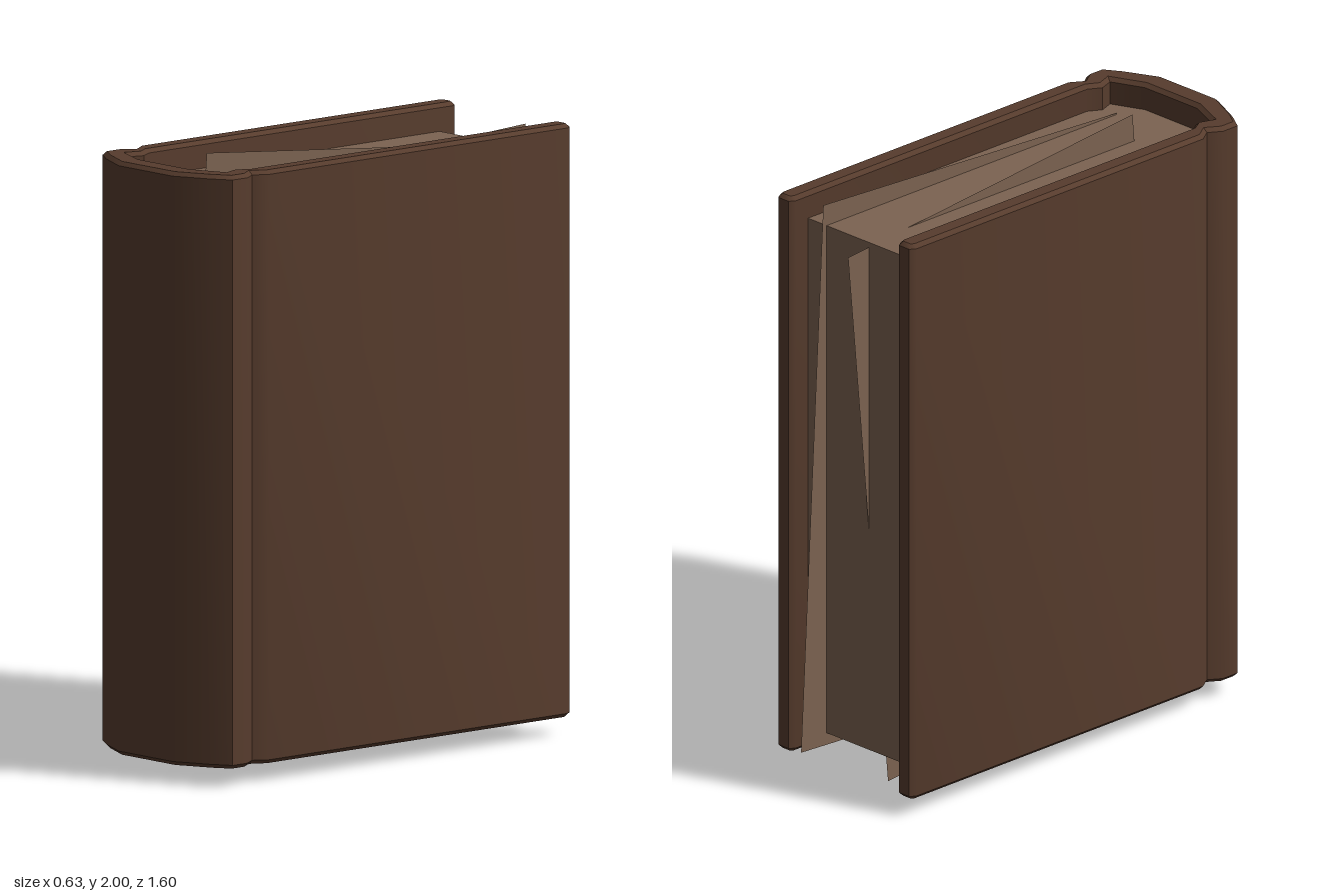
import * as THREE from 'three';
import { toCreasedNormals } from 'three/addons/utils/BufferGeometryUtils.js';

// Closed plan outline, mirrored in x, from [x, z] points on the +x side
function mirroredShape(half) {
  const mirror = half.slice().reverse().map(([x, z]) => [-x, z]);
  return new THREE.Shape([...half, ...mirror].map(([x, z]) => new THREE.Vector2(x, -z)));
}

// Upright prism between two heights with an optional small chamfer kept inside the outline
function prism(shape, bottom, top, bevel) {
  const geo = new THREE.ExtrudeGeometry(shape, {
    depth: top - bottom - 2 * bevel,
    bevelEnabled: bevel > 0,
    bevelSize: bevel,
    bevelThickness: bevel,
    bevelOffset: -bevel,
    bevelSegments: 1,
  });
  geo.rotateX(-Math.PI / 2);
  geo.translate(0, bottom + bevel, 0);
  return toCreasedNormals(geo, 0.7);
}

// Flat sheet at constant x from four [z, y] corners
function sheet(x, corners) {
  const geo = new THREE.BufferGeometry();
  const pos = corners.flatMap(([z, y]) => [x, y, z]);
  geo.setAttribute('position', new THREE.Float32BufferAttribute(pos, 3));
  geo.setIndex([0, 1, 2, 0, 2, 3]);
  geo.computeVertexNormals();
  return geo;
}

export function createModel() {
  const leather = new THREE.MeshStandardMaterial({ color: 0x573c2d });
  leather.name = 'brown leather';
  const paper = new THREE.MeshStandardMaterial({ color: 0x7c6351, side: THREE.DoubleSide });
  paper.name = 'aged paper';

  const book = new THREE.Group();
  book.name = 'book';
  const add = (name, geo, mat) => {
    const mesh = new THREE.Mesh(geo, mat);
    mesh.name = name;
    book.add(mesh);
  };

  // Boards and rounded spine in one piece, with the hinge groove
  const cover = mirroredShape([
    [0.13, 0.8], [0.25, 0.745], [0.313, 0.705], [0.313, 0.64], [0.284, 0.595],
    [0.313, 0.55], [0.313, -0.74], [0.3, -0.76], [0.253, -0.76], [0.24, -0.74],
    [0.24, 0.57], [0.214, 0.615], [0.232, 0.665], [0.12, 0.712],
  ]);
  add('cover', prism(cover, 0.06, 1.995, 0.013), leather);

  // Page block, filling the inside of the cover
  const pages = mirroredShape([
    [0.24, -0.685], [0.24, 0.57], [0.216, 0.615], [0.234, 0.667], [0.12, 0.714],
  ]);
  add('pageBlock', prism(pages, 0.135, 1.905, 0), paper);

  // Two crooked loose sheets poking out of the block
  add('looseSheetMiddle', sheet(-0.04, [[-0.6, 0], [0.66, 0.12], [0.5, 2], [-0.78, 1.88]]), paper);
  add('looseSheetLeft', sheet(0.155, [[-0.8, 0.1], [0.52, 0.03], [0.62, 1.91], [-0.7, 1.98]]), paper);

  return book;
}
